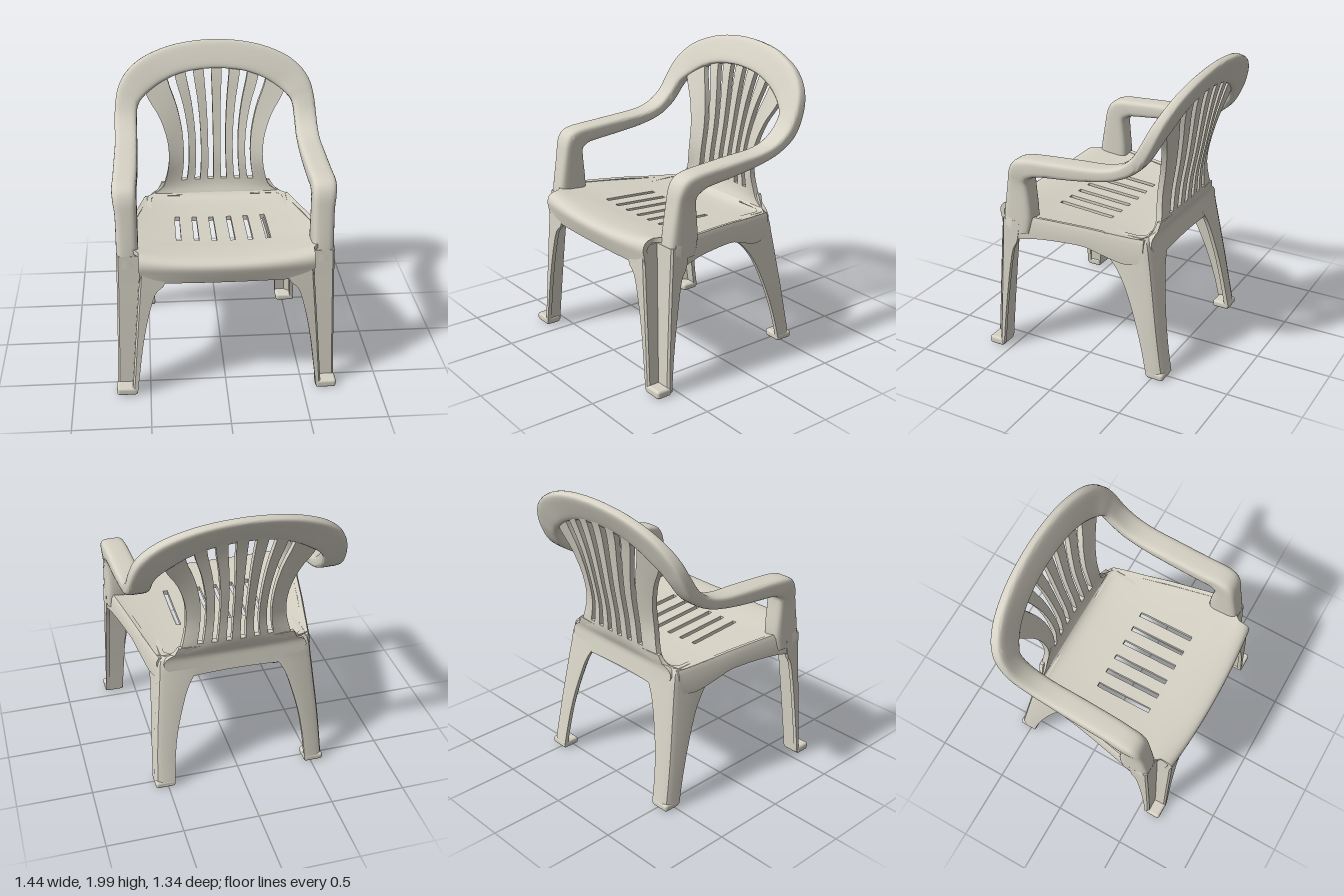
import * as THREE from 'three';
import { mergeVertices, toCreasedNormals } from 'three/addons/utils/BufferGeometryUtils.js';
import { RoundedBoxGeometry } from 'three/addons/geometries/RoundedBoxGeometry.js';

const plastic = new THREE.MeshStandardMaterial({ color: 0xd6d2c5 });
plastic.name = 'warm grey plastic';

// Smooth interpolation of rows of numbers, n steps between neighbours
function smooth(rows, n) {
  const out = [];
  const at = (i) => rows[Math.min(Math.max(i, 0), rows.length - 1)];
  for (let i = 0; i < rows.length - 1; i++) {
    for (let k = 0; k < n; k++) {
      const t = k / n;
      out.push(rows[i].map((b, c) => {
        const a = at(i - 1)[c], d = at(i + 1)[c], e = at(i + 2)[c];
        return b + 0.5 * t * (d - a + t * (2 * a - 5 * b + 4 * d - e + t * (3 * (b - d) + e - a)));
      }));
    }
  }
  out.push(rows[rows.length - 1]);
  return out;
}

// Closed solid from points and triangles, turned outward by its signed volume
function solid(points, tris, crease) {
  let volume = 0;
  const c = new THREE.Vector3();
  for (const [a, b, d] of tris) volume += points[a].dot(c.crossVectors(points[b], points[d]));
  const geo = new THREE.BufferGeometry().setFromPoints(points);
  geo.setIndex(tris.flatMap(([a, b, d]) => (volume < 0 ? [a, d, b] : [a, b, d])));
  return toCreasedNormals(mergeVertices(geo, 1e-5), crease);
}

// Skin over equal-sized rings of points, with end caps
function loft(rings, crease = 0.7) {
  const n = rings[0].length, points = rings.flat(), tris = [];
  for (let r = 0; r < rings.length - 1; r++) {
    for (let i = 0; i < n; i++) {
      const a = r * n + i, b = r * n + (i + 1) % n;
      tris.push([a, b, b + n], [a, b + n, a + n]);
    }
  }
  // each cap triangle is turned against (first ring) or along (last ring) its ring
  const cap = (ring, start, along) => {
    const size = new THREE.Box3().setFromPoints(ring).getSize(new THREE.Vector3());
    const q = size.y < size.z ? 'z' : 'y';
    const flat = ring.map((v) => new THREE.Vector2(v.x, v[q]));
    const clockwise = THREE.ShapeUtils.isClockWise(flat);
    for (const [a, b, d] of THREE.ShapeUtils.triangulateShape(flat, [])) {
      const same = THREE.ShapeUtils.isClockWise([flat[a], flat[b], flat[d]]) === clockwise;
      tris.push((same === along ? [a, b, d] : [a, d, b]).map((i) => i + start));
    }
  };
  cap(rings[0], 0, false);
  cap(rings[rings.length - 1], (rings.length - 1) * n, true);
  return solid(points, tris, crease);
}

// Thick sheet on a grid; cells where hole(i, j) is true are left open
function sheet(nu, nv, front, back, hole) {
  const points = [], tris = [], half = nu * nv;
  for (const f of [front, back]) for (let j = 0; j < nv; j++) for (let i = 0; i < nu; i++) points.push(f(i, j));
  const quad = (a, b, c, d) => tris.push([a, b, c], [a, c, d]);
  const open = (i, j) => i < 0 || j < 0 || i >= nu - 1 || j >= nv - 1 || hole(i, j);
  for (let j = 0; j < nv - 1; j++) {
    for (let i = 0; i < nu - 1; i++) {
      if (open(i, j)) continue;
      const a = j * nu + i, b = a + 1, c = b + nu, d = a + nu;
      quad(a, b, c, d);
      quad(d + half, c + half, b + half, a + half);
      const wall = (p, q) => quad(q, p, p + half, q + half);
      if (open(i, j - 1)) wall(a, b);
      if (open(i + 1, j)) wall(b, c);
      if (open(i, j + 1)) wall(c, d);
      if (open(i - 1, j)) wall(d, a);
    }
  }
  return solid(points, tris, 0.7);
}

// Column positions from -1 to 1, with the slots' edges included and wide gaps filled
function columns(slots, halfWidth) {
  const us = [-1, -0.94, -0.87, 0.87, 0.94, 1];
  for (const s of slots) us.push(s - halfWidth, s + halfWidth);
  us.sort((a, b) => a - b);
  return us.flatMap((u, i) => {
    const gap = (us[i + 1] ?? u) - u, n = Math.max(1, Math.ceil(gap / 0.13));
    return Array.from({ length: n }, (_, k) => u + (gap * k) / n);
  });
}
const inSlot = (us, i, slots, h) => slots.some((s) => Math.abs((us[i] + us[i + 1]) / 2 - s) < h);

// Half-widths at depth z: outer skirt, and seat (drawn in at the front lip and at the back)
const skirtHalf = (z) => 0.6 + (z > 0 ? 0.2 : 0.22) * z;
const seatHalf = (z) => (z > 0.45
  ? 0.69 - 0.14 * Math.min(1, (z - 0.45) / 0.11)
  : skirtHalf(z) - 0.01 - 1.6 * Math.max(0, -0.37 - z));

export function createModel() {
  const chair = new THREE.Group();
  const V = (x, y, z) => new THREE.Vector3(x, y, z);
  const add = (name, geo) => {
    const mesh = new THREE.Mesh(geo, plastic);
    mesh.name = name;
    chair.add(mesh);
    return mesh;
  };

  // Seat with rolled front lip: z, y, rise at sides, set-back at sides, thickness in y and z
  const seatRows = smooth([
    [0.645, 0.82, 0, 0.02, 0, -0.03], [0.663, 0.88, 0, 0.03, 0, -0.03], [0.672, 0.93, 0.01, 0.03, -0.01, -0.03],
    [0.65, 0.96, 0.025, 0.03, -0.03, -0.02], [0.58, 0.972, 0.03, 0.02, -0.03, 0], [0.45, 0.965, 0.035, 0, -0.03, 0],
    [0.33, 0.95, 0.04, 0, -0.03, 0], [0.13, 0.937, 0.04, 0, -0.03, 0], [-0.06, 0.925, 0.035, 0, -0.03, 0],
    [-0.28, 0.915, 0.03, 0, -0.03, 0], [-0.37, 0.925, 0.015, 0, -0.03, 0], [-0.415, 0.96, 0, 0, -0.025, -0.02],
    [-0.44, 1.02, 0, -0.01, 0, -0.025],
  ], 3);
  const seatSlots = [-0.5, -0.3, -0.103, 0.103, 0.3, 0.5];
  const su = columns(seatSlots, 0.027);
  const seatPoint = (under) => (i, j) => {
    const [z, y, rise, set, ty, tz] = seatRows[j], u = su[i], a = Math.abs(u), w = seatHalf(z);
    const core = Math.min(0.348, 0.6 * w);
    const x = Math.sign(u) * (a < 0.6 ? (a / 0.6) * core : core + ((a - 0.6) / 0.4) * (w - core));
    return V(x, y + rise * a ** 2.5 + under * ty, z - set * u * u + under * tz);
  };
  add('seat', sheet(su.length, seatRows.length, seatPoint(0), seatPoint(1), (i, j) => {
    const z = (seatRows[j][0] + seatRows[j + 1][0]) / 2;
    return z < 0.33 && z > -0.06 && inSlot(su, i, seatSlots, 0.027);
  }));

  // Slatted backrest and rear apron: centre y, edge y, centre z, forward curve at edges, half-width
  const backRows = smooth([
    [0.8, 0.78, -0.415, 0, 0.38], [0.87, 0.87, -0.405, 0, 0.47], [0.93, 0.93, -0.4, 0, 0.46], [0.98, 0.98, -0.42, 0.01, 0.385],
    [1.04, 1.04, -0.435, 0.025, 0.355], [1.2, 1.18, -0.45, 0.05, 0.328], [1.4, 1.34, -0.487, 0.065, 0.335],
    [1.6, 1.5, -0.52, 0.065, 0.385], [1.76, 1.62, -0.55, 0.065, 0.455], [1.86, 1.7, -0.58, 0.075, 0.49],
  ], 3);
  const backSlots = [0, 1, 2, 3, 4, 5].map((k) => -0.625 + 0.262 * k);
  const bu = columns(backSlots, 0.054);
  const backPoint = (depth) => (i, j) => {
    const [yc, ye, z, f, w] = backRows[j], s = bu[i];
    return V(s * w, yc + (ye - yc) * s * s, z + f * s * s - depth);
  };
  add('backrest', sheet(bu.length, backRows.length, backPoint(0), backPoint(0.038), (i, j) =>
    j < backRows.length - 2 && backRows[j][0] > 1.03 && inSlot(bu, i, backSlots, 0.054)));

  // Arm posts, armrests and top hoop in one band: outer edge, inner edge, thickness vector
  const side = [
    [0.69, 0.88, 0.535, 0.55, 0.88, 0.535, 0, 0, -0.2], [0.69, 1, 0.525, 0.55, 1, 0.525, 0, 0, -0.21],
    [0.69, 1.2, 0.492, 0.55, 1.2, 0.492, 0, 0, -0.16], [0.7, 1.31, 0.47, 0.55, 1.31, 0.47, 0, -0.06, -0.14],
    [0.705, 1.37, 0.43, 0.55, 1.37, 0.43, 0, -0.1, -0.12], [0.705, 1.395, 0.36, 0.55, 1.395, 0.36, 0, -0.11, -0.08],
    [0.7, 1.405, 0.25, 0.545, 1.405, 0.25, 0, -0.11, -0.02], [0.695, 1.42, 0, 0.54, 1.42, 0, 0, -0.1, 0],
    [0.69, 1.435, -0.18, 0.54, 1.43, -0.18, 0, -0.085, 0], [0.69, 1.47, -0.3, 0.54, 1.465, -0.3, 0, -0.075, -0.03],
    [0.69, 1.54, -0.395, 0.54, 1.53, -0.38, 0, -0.06, -0.065], [0.68, 1.64, -0.455, 0.53, 1.6, -0.435, 0, -0.035, -0.08],
    [0.65, 1.74, -0.5, 0.49, 1.65, -0.462, 0, -0.025, -0.08], [0.58, 1.83, -0.54, 0.43, 1.695, -0.488, 0, -0.02, -0.075],
    [0.46, 1.91, -0.575, 0.34, 1.75, -0.508, 0, -0.02, -0.07], [0.26, 1.975, -0.605, 0.2, 1.8, -0.525, 0, -0.02, -0.065],
  ];
  const mirrored = side.map((r) => r.map((v, c) => (c % 3 === 0 ? -v : v))).reverse();
  const band = smooth([...side, [0, 2, -0.617, 0, 1.82, -0.533, 0, -0.02, -0.062], ...mirrored], 4);
  const soft = (v) => 0.5 + 0.5 * Math.sign(v) * Math.abs(v) ** 0.45;
  add('armsAndHoop', loft(band.map((r) => Array.from({ length: 24 }, (_, k) => {
    const t = ((k + 0.5) / 24) * Math.PI * 2, u = soft(Math.cos(t)), d = soft(Math.sin(t));
    return V(...[0, 1, 2].map((c) => r[c] + (r[c + 3] - r[c]) * u + r[c + 6] * d));
  })), 0.9));

  // Front legs, stepped at the corner: y, outer x, front z, inner x, rear z, step x, step z
  const frontLeg = smooth([
    [0.02, 0.715, 0.66, 0.585, 0.548, 0.618, 0.58], [0.2, 0.708, 0.655, 0.562, 0.533, 0.603, 0.572],
    [0.4, 0.702, 0.65, 0.535, 0.51, 0.587, 0.561], [0.6, 0.697, 0.645, 0.495, 0.483, 0.57, 0.55],
    [0.75, 0.693, 0.641, 0.45, 0.455, 0.557, 0.541], [0.82, 0.692, 0.638, 0.39, 0.42, 0.551, 0.537],
    [0.96, 0.69, 0.632, 0.42, 0.4, 0.54, 0.53],
  ], 3);
  const frontSection = ([, X, Z, a, b, e, s]) => {
    const t = 0.027;
    return [[X, b], [X, s - 0.012], [X - 0.012, s], [e, s], [e, Z - 0.012], [e - 0.012, Z], [a, Z], [a, Z - t],
      [e - t, Z - t], [e - t, s - t], [X - t, s - t], [X - t, b]];
  };

  // Rear legs, chamfered at the corner: y, outer x, back z, inner x, front z
  const rearLeg = smooth([
    [0.02, 0.585, -0.585, 0.455, -0.465], [0.2, 0.575, -0.553, 0.443, -0.425], [0.4, 0.56, -0.52, 0.415, -0.365],
    [0.6, 0.54, -0.487, 0.365, -0.285], [0.72, 0.528, -0.467, 0.325, -0.21], [0.8, 0.52, -0.453, 0.28, -0.13],
    [0.86, 0.515, -0.443, 0.24, -0.06], [0.915, 0.505, -0.428, 0.24, -0.06], [0.94, 0.485, -0.41, 0.24, -0.06],
  ], 3);
  const rearSection = ([, X, Z, a, b]) => {
    const t = 0.028, r = 0.048;
    return [[X, b], [X, Z + r], [X - r * 0.3, Z + r * 0.3], [X - r, Z], [a, Z], [a, Z + t],
      [X - r - t * 0.5, Z + t], [X - t, Z + r + t * 0.5], [X - t, b]];
  };
  const leg = (rows, section, m) => loft(rows.map((r) => section(r).map(([x, z]) => V(m * x, r[0], z))), 0.6);

  // Side skirts under the seat: z, top y, bottom y
  const skirt = smooth([
    [0.5, 1, 0.8], [0.4, 0.997, 0.835], [0.25, 0.99, 0.853], [0, 0.973, 0.848],
    [-0.12, 0.96, 0.81], [-0.28, 0.945, 0.76], [-0.4, 0.935, 0.78],
  ], 4);

  for (const [label, m] of [['left', 1], ['right', -1]]) {
    add(label + 'FrontLeg', leg(frontLeg, frontSection, m));
    add(label + 'RearLeg', leg(rearLeg, rearSection, m));
    add(label + 'FrontFoot', new RoundedBoxGeometry(0.135, 0.055, 0.108, 3, 0.018)).position.set(m * 0.652, 0.0275, 0.608);
    add(label + 'RearFoot', new RoundedBoxGeometry(0.132, 0.05, 0.122, 3, 0.018)).position.set(m * 0.519, 0.025, -0.523);
    add(label + 'Skirt', loft(skirt.map(([z, top, bottom]) => {
      const w = Math.min(skirtHalf(z), 0.688);
      return [[w + 0.004, bottom], [w + 0.002, top - 0.03], [w - 0.012, top], [w - 0.04, top - 0.005], [w - 0.024, bottom]]
        .map(([x, y]) => V(m * x, y, z));
    })));
  }
  return chair;
}
